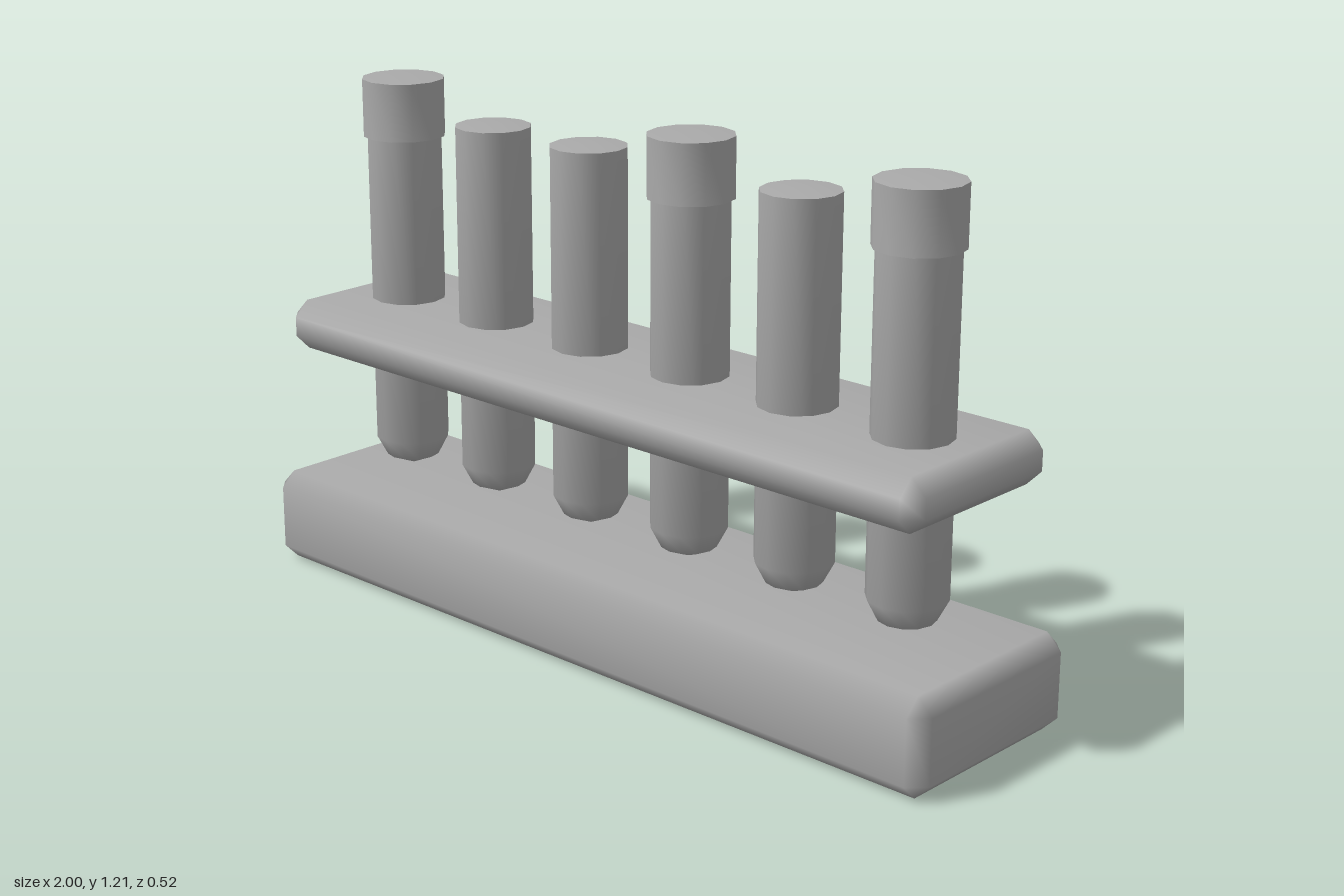
import * as THREE from 'three';
import { mergeVertices, toCreasedNormals } from 'three/addons/utils/BufferGeometryUtils.js';
import { ConvexGeometry } from 'three/addons/geometries/ConvexGeometry.js';

const SIDES = 12;

// Box with one flat chamfer on every edge and softened normals
function chamferedBox(w, h, d, c) {
  const points = [];
  for (const sx of [-1, 1]) for (const sy of [-1, 1]) for (const sz of [-1, 1]) {
    const x = w / 2, y = h / 2, z = d / 2;
    points.push(
      new THREE.Vector3(sx * x, sy * (y - c), sz * (z - c)),
      new THREE.Vector3(sx * (x - c), sy * y, sz * (z - c)),
      new THREE.Vector3(sx * (x - c), sy * (y - c), sz * z)
    );
  }
  const hull = new ConvexGeometry(points);
  hull.deleteAttribute('normal');
  const geometry = mergeVertices(hull);
  geometry.computeVertexNormals();
  return geometry;
}

// Turned part with smooth sides and sharp rims
function turned(profile) {
  const points = profile.map(([r, y]) => new THREE.Vector2(r, y));
  return toCreasedNormals(new THREE.LatheGeometry(points, SIDES), Math.PI / 3.5);
}

export function createModel() {
  const group = new THREE.Group();
  const grey = new THREE.MeshStandardMaterial({ color: 0xaaaaaa });
  grey.name = 'grey';

  const add = (name, geometry, x, y) => {
    const mesh = new THREE.Mesh(geometry, grey);
    mesh.name = name;
    mesh.position.set(x, y, 0);
    group.add(mesh);
  };

  // Rack: heavy base and the shelf that holds the tubes
  add('base', chamferedBox(2, 0.224, 0.516, 0.037), 0, 0.112);
  add('shelf', chamferedBox(1.9, 0.12, 0.466, 0.037), -0.003, 0.605);

  // Test tubes with rounded bottoms; some wear a cap
  const tube = turned([
    [0, 0.238], [0.064, 0.265], [0.089, 0.313], [0.089, 1.128], [0, 1.135]
  ]);
  const cap = turned([
    [0.085, 1.062], [0.098, 1.062], [0.098, 1.199], [0, 1.205]
  ]);
  const capped = [true, false, false, true, false, true];
  capped.forEach((hasCap, i) => {
    const x = -0.768 + i * 0.306;
    add('tube', tube, x, 0);
    if (hasCap) add('cap', cap, x, 0);
  });

  return group;
}
